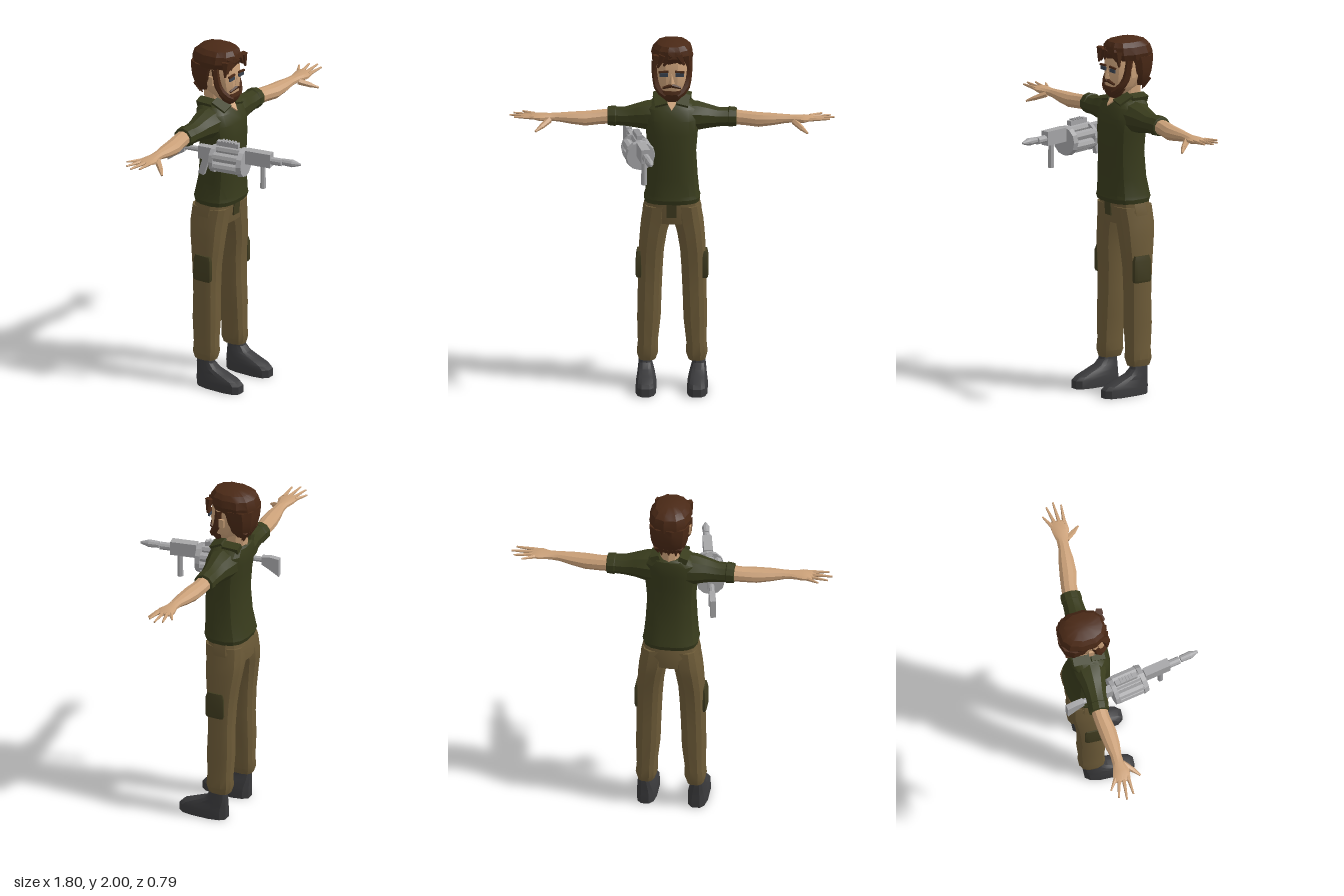
import * as THREE from 'three';
import { toCreasedNormals } from 'three/addons/utils/BufferGeometryUtils.js';

const V = (x, y, z) => new THREE.Vector3(x, y, z);
const paint = (name, hex) => {
  const m = new THREE.MeshStandardMaterial({ color: hex });
  m.name = name;
  return m;
};

export function createModel() {
  const shirt = paint('olive shirt', 0x383b1c);
  const pants = paint('khaki trousers', 0x6d5b38);
  const patch = paint('dark olive patch', 0x403c20);
  const skin = paint('skin', 0xcaa078);
  const hair = paint('brown hair', 0x4a2916);
  const boot = paint('boot black', 0x3a3a3c);
  const metal = paint('grey metal', 0xa6a6a8);
  const eyeMat = paint('eye slate', 0x39424e);

  const root = new THREE.Group();
  const add = (name, geo, mat, parent = root) => {
    const m = new THREE.Mesh(toCreasedNormals(geo, 0.45), mat);
    m.name = name;
    parent.add(m);
    return m;
  };

  // Closed skin through rings of points, turned outward whatever the side
  const loft = (rings) => {
    const n = rings[0].length, pos = [];
    let volume = 0;
    const tris = [];
    const tri = (a, b, c) => { tris.push([a, b, c]); };
    for (let i = 0; i < rings.length - 1; i++) {
      for (let j = 0; j < n; j++) {
        const k = (j + 1) % n, A = rings[i], B = rings[i + 1];
        tri(A[j], A[k], B[k]);
        tri(A[j], B[k], B[j]);
      }
    }
    [[rings[0], 1], [rings[rings.length - 1], -1]].forEach(([r, way]) => {
      const c = r.reduce((s, p) => s.add(p), V(0, 0, 0)).divideScalar(n);
      for (let j = 0; j < n; j++) {
        const k = (j + 1) % n;
        if (way > 0) tri(c, r[k], r[j]); else tri(c, r[j], r[k]);
      }
    });
    const mid = rings[0][0];
    tris.forEach(([a, b, c]) => {
      volume += a.clone().sub(mid).dot(b.clone().sub(mid).cross(c.clone().sub(mid)));
    });
    tris.forEach(([a, b, c]) => {
      (volume > 0 ? [a, b, c] : [a, c, b]).forEach((p) => pos.push(p.x, p.y, p.z));
    });
    const g = new THREE.BufferGeometry();
    g.setAttribute('position', new THREE.Float32BufferAttribute(pos, 3));
    g.computeVertexNormals();
    return g;
  };
  const soft = (v, e) => Math.sign(v) * Math.abs(v) ** e;
  // Level sections [y, x0, x1, z0, z1]; ridge makes alternate points stand in
  const loftY = (rows, { n = 14, e = 0.8, ridge = 0, s = 1 } = {}) =>
    loft(rows.map(([y, x0, x1, z0, z1]) => Array.from({ length: n }, (_, i) => {
      const a = (i + 0.5) / n * Math.PI * 2, r = i % 2 ? 1 - ridge : 1;
      return V(s * ((x0 + x1) / 2 + (x1 - x0) / 2 * r * soft(Math.cos(a), e)), y,
        (z0 + z1) / 2 + (z1 - z0) / 2 * r * soft(Math.sin(a), e));
    })));
  // Sections across an arm [x, cy, ry, cz, rz]
  const loftX = (rows, s, n = 10) =>
    loft(rows.map(([x, cy, ry, cz, rz]) => Array.from({ length: n }, (_, i) => {
      const a = (i + 0.5) / n * Math.PI * 2;
      return V(s * x, cy + ry * Math.sin(a), cz + rz * Math.cos(a));
    })));
  // Tapered rod between two points
  const rod = (a, b, ra, rb, n = 6) => {
    const d = b.clone().sub(a);
    const g = new THREE.CylinderGeometry(rb, ra, d.length(), n);
    g.applyQuaternion(new THREE.Quaternion().setFromUnitVectors(V(0, 1, 0), d.normalize()));
    return g.translate((a.x + b.x) / 2, (a.y + b.y) / 2, (a.z + b.z) / 2);
  };
  const box = (w, h, d, x, y, z, rx = 0, rz = 0) =>
    new THREE.BoxGeometry(w, h, d).rotateX(rx).rotateZ(rz).translate(x, y, z);

  // Shirt body with a slightly flared hem
  add('shirt', loftY([
    [1.08, -0.153, 0.153, -0.342, -0.098], [1.105, -0.158, 0.158, -0.35, -0.09],
    [1.125, -0.152, 0.152, -0.345, -0.094], [1.22, -0.143, 0.143, -0.325, -0.095],
    [1.36, -0.135, 0.135, -0.315, -0.095], [1.48, -0.145, 0.145, -0.322, -0.093],
    [1.56, -0.152, 0.152, -0.332, -0.1], [1.62, -0.145, 0.145, -0.335, -0.125],
    [1.655, -0.105, 0.105, -0.33, -0.15], [1.665, -0.07, 0.07, -0.32, -0.175],
  ], { n: 16, e: 0.75 }), shirt);
  add('hips', loftY([
    [0.96, -0.165, 0.165, -0.342, -0.128], [1.03, -0.166, 0.166, -0.345, -0.118],
    [1.1, -0.148, 0.148, -0.335, -0.112],
  ], { e: 0.75 }), pants);
  add('fly', box(0.055, 0.085, 0.008, 0, 1.045, -0.117, 0.06), patch);
  add('neck', loftY([
    [1.6, -0.06, 0.06, -0.32, -0.16], [1.67, -0.056, 0.056, -0.325, -0.185],
    [1.8, -0.056, 0.056, -0.325, -0.2],
  ], { n: 10, e: 1 }), skin);
  // Open neck below the collar
  const vee = new THREE.Shape([[-0.035, 0.045], [0, -0.02], [0.035, 0.045]].map(([x, y]) => new THREE.Vector2(x, y)));
  add('openNeck', new THREE.ExtrudeGeometry(vee, { depth: 0.008, bevelEnabled: false })
    .rotateX(-0.85).translate(0, 1.635, -0.128), skin);

  for (const s of [1, -1]) {
    const side = new THREE.Group();
    side.name = s > 0 ? 'leftSide' : 'rightSide';
    root.add(side);
    const put = (name, geo, mat) => add(name, geo, mat, side);

    // Collar
    put('collarFlap', box(0.07, 0.014, 0.09, s * 0.062, 1.668, -0.175, 0.5, -s * 0.25), shirt);
    put('collarBack', box(0.05, 0.035, 0.1, s * 0.078, 1.665, -0.265, 0, -s * 0.35), shirt);

    // Sleeve and cuff
    put('sleeve', loftX([
      [0.06, 1.565, 0.09, -0.228, 0.095], [0.14, 1.565, 0.085, -0.226, 0.088],
      [0.2, 1.562, 0.07, -0.225, 0.07], [0.26, 1.557, 0.056, -0.226, 0.06],
      [0.31, 1.558, 0.054, -0.228, 0.057], [0.315, 1.558, 0.06, -0.228, 0.061],
      [0.355, 1.558, 0.055, -0.23, 0.058], [0.358, 1.558, 0.046, -0.23, 0.05],
    ], s), shirt);
    // Arm and palm
    put('arm', loftX([
      [0.33, 1.557, 0.044, -0.23, 0.046], [0.4, 1.552, 0.042, -0.225, 0.046],
      [0.48, 1.547, 0.042, -0.212, 0.05], [0.56, 1.552, 0.034, -0.205, 0.044],
      [0.63, 1.557, 0.025, -0.2, 0.032], [0.68, 1.558, 0.021, -0.198, 0.033],
      [0.73, 1.559, 0.02, -0.194, 0.05], [0.78, 1.563, 0.012, -0.2, 0.05],
      [0.79, 1.563, 0.006, -0.2, 0.045],
    ], s), skin);
    [[-0.236, 0.83, -0.275], [-0.214, 0.88, -0.242], [-0.19, 0.9, -0.2], [-0.165, 0.876, -0.158]].forEach(([z, x, zt]) => {
      put('finger', rod(V(s * 0.765, 1.563, z), V(s * x, 1.568, zt), 0.012, 0.005), skin);
    });
    put('thumb', rod(V(s * 0.68, 1.548, -0.175), V(s * 0.725, 1.522, -0.12), 0.019, 0.014), skin);
    put('thumbTip', rod(V(s * 0.722, 1.524, -0.124), V(s * 0.755, 1.505, -0.09), 0.014, 0.006), skin);

    // Trouser leg, gathered at the ankle
    put('trouserLeg', loftY([
      [1.06, 0.005, 0.156, -0.338, -0.117], [0.96, 0.008, 0.174, -0.345, -0.127],
      [0.9, 0.026, 0.18, -0.338, -0.13], [0.8, 0.043, 0.187, -0.322, -0.138],
      [0.7, 0.05, 0.19, -0.31, -0.15], [0.55, 0.057, 0.192, -0.302, -0.153],
      [0.4, 0.062, 0.195, -0.305, -0.148], [0.26, 0.078, 0.191, -0.297, -0.152],
      [0.2, 0.076, 0.197, -0.3, -0.148], [0.16, 0.09, 0.186, -0.288, -0.16],
    ], { n: 12, e: 0.75, s }), pants);
    put('legPocket', loftY([
      [0.64, 0.165, 0.199, -0.268, -0.165], [0.655, 0.165, 0.203, -0.274, -0.16],
      [0.76, 0.165, 0.201, -0.272, -0.16], [0.79, 0.165, 0.195, -0.264, -0.17],
    ], { n: 8, e: 0.4, s }), patch);

    // Boot
    put('boot', loftY([
      [0, 0.085, 0.2, -0.272, 0.018], [0.045, 0.085, 0.2, -0.274, 0.018],
      [0.065, 0.089, 0.197, -0.273, -0.005], [0.09, 0.095, 0.193, -0.272, -0.07],
      [0.115, 0.103, 0.19, -0.272, -0.135], [0.145, 0.112, 0.186, -0.272, -0.165],
      [0.19, 0.114, 0.184, -0.27, -0.175],
    ], { n: 12, e: 0.7, s }), boot);

    // Eye, brow, ear and the beard along the jaw
    put('eye', box(0.046, 0.02, 0.008, s * 0.044, 1.83, -0.117), eyeMat);
    put('brow', box(0.054, 0.01, 0.012, s * 0.045, 1.848, -0.116, 0, -s * 0.06), hair);
    put('ear', box(0.012, 0.05, 0.03, s * 0.104, 1.815, -0.215), skin);
    const jaw = new THREE.CatmullRomCurve3([
      V(s * 0.094, 1.89, -0.195), V(s * 0.088, 1.79, -0.18), V(s * 0.072, 1.735, -0.15), V(s * 0.03, 1.705, -0.13),
    ]);
    put('jawBeard', new THREE.TubeGeometry(jaw, 6, 0.021, 6), hair);
    put('moustache', rod(V(0, 1.77, -0.114), V(s * 0.05, 1.752, -0.124), 0.012, 0.007, 5), hair);
  }

  // Head
  add('head', loftY([
    [1.69, -0.045, 0.045, -0.24, -0.135], [1.73, -0.072, 0.072, -0.29, -0.118],
    [1.79, -0.088, 0.088, -0.33, -0.115], [1.87, -0.095, 0.095, -0.35, -0.118],
    [1.95, -0.085, 0.085, -0.34, -0.14],
  ], { n: 12, e: 0.75 }), skin);
  add('nose', new THREE.ConeGeometry(0.018, 0.06, 4).translate(0, 1.81, -0.113), skin);
  add('chinBeard', loftY([
    [1.668, -0.032, 0.032, -0.18, -0.135], [1.69, -0.052, 0.052, -0.2, -0.117],
    [1.715, -0.066, 0.066, -0.22, -0.108], [1.735, -0.072, 0.072, -0.23, -0.112],
  ], { n: 10, e: 0.8 }), hair);

  // Hair with ridged strands
  add('hairCrown', loftY([
    [1.885, -0.11, 0.11, -0.385, -0.125], [1.92, -0.119, 0.119, -0.388, -0.108],
    [1.96, -0.108, 0.108, -0.375, -0.113], [1.985, -0.085, 0.085, -0.345, -0.13],
    [2.0, -0.04, 0.04, -0.29, -0.18],
  ], { n: 24, e: 0.85, ridge: 0.05 }), hair);
  add('hairBack', loftY([
    [1.73, -0.068, 0.068, -0.342, -0.27], [1.76, -0.09, 0.09, -0.362, -0.24],
    [1.81, -0.106, 0.106, -0.38, -0.215], [1.86, -0.112, 0.112, -0.387, -0.2],
    [1.9, -0.115, 0.115, -0.388, -0.18],
  ], { n: 20, e: 0.8, ridge: 0.05 }), hair);
  for (let i = -3; i <= 3; i++) {
    const x = i * 0.022;
    add('napeLock', rod(V(x, 1.77, -0.345 + x * x), V(x * 0.9, 1.7 + (i & 1) * 0.015, -0.32), 0.02, 0.003, 5), hair);
  }
  [[-0.085, -0.098, 1.855], [-0.05, -0.078, 1.868], [-0.01, -0.045, 1.88], [0.04, 0.07, 1.885], [0.08, 0.097, 1.86]].forEach(([x, xt, y]) => {
    add('fringeLock', rod(V(x, 1.94, -0.13), V(xt, y, -0.125), 0.026, 0.006, 5), hair);
  });

  // Revolving launcher hanging beside the right arm, pointing forward
  const gun = new THREE.Group();
  gun.name = 'launcher';
  gun.position.set(-0.18, 1.453, 0);
  gun.rotation.y = 0.2;
  root.add(gun);
  const part = (name, geo) => add(name, geo, metal, gun);
  const along = (name, z0, z1, r0, r1, y = 0, x = 0, n = 10) => part(name, rod(V(x, y, z0), V(x, y, z1), r0, r1, n));
  part('barrelHousing', box(0.05, 0.08, 0.15, 0, 0.003, 0.147));
  along('barrel', 0.2, 0.285, 0.022, 0.022);
  along('grenadeBody', 0.292, 0.35, 0.019, 0.022, 0.005);
  along('grenadeNose', 0.35, 0.398, 0.022, 0.006, 0.005);
  part('foreGrip', rod(V(0, -0.03, 0.17), V(0, -0.172, 0.17), 0.015, 0.017, 8));
  const drumY = -0.04;
  along('drumFront', 0.04, 0.068, 0.086, 0.08, drumY, 0, 12);
  along('drumCore', -0.11, 0.05, 0.05, 0.05, drumY);
  along('drumRear', -0.13, -0.105, 0.078, 0.08, drumY, 0, 12);
  for (let i = 0; i < 6; i++) {
    const a = (i + 0.5) / 6 * Math.PI * 2;
    along('chamber', -0.11, 0.05, 0.026, 0.026, drumY + 0.056 * Math.sin(a), 0.056 * Math.cos(a), 8);
  }
  part('topRail', box(0.03, 0.026, 0.13, 0, 0.055, -0.04));
  for (let i = 0; i < 5; i++) part('railTooth', box(0.034, 0.008, 0.009, 0, 0.071, -0.072 + i * 0.018));
  part('receiver', box(0.042, 0.075, 0.1, 0, -0.015, -0.165));
  part('pistolGrip', box(0.028, 0.11, 0.036, 0, -0.095, -0.185, 0.3));
  along('stockTube', -0.36, -0.2, 0.016, 0.016, -0.005, 0, 8);
  part('stock', loft([[-0.3, 0.016, -0.03], [-0.35, 0.02, -0.06], [-0.4, 0.012, -0.095]].map(([z, top, low]) =>
    [V(-0.016, low, z), V(0.016, low, z), V(0.016, top, z), V(-0.016, top, z)])));

  return root;
}
